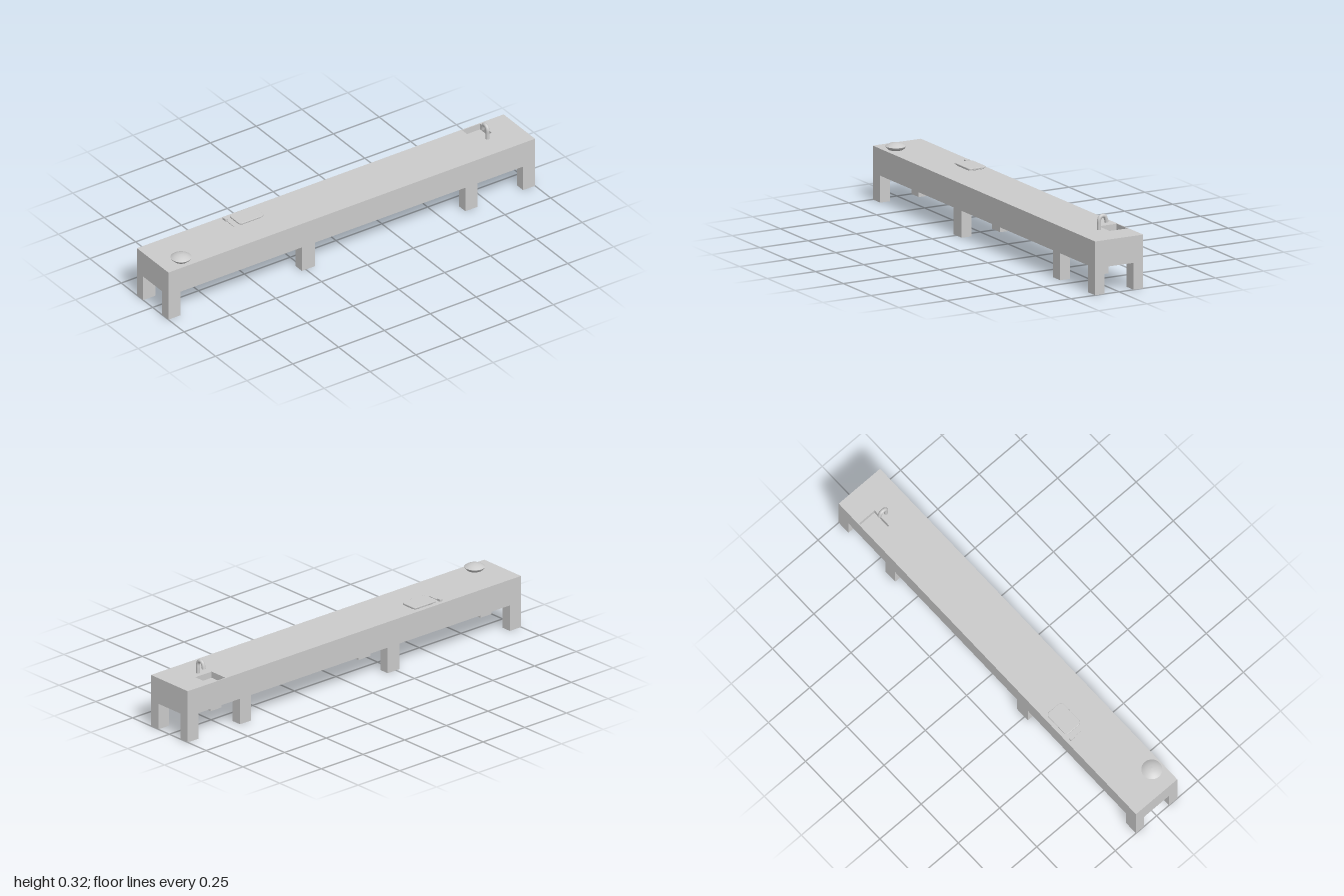
import * as THREE from 'three';

const material = new THREE.MeshStandardMaterial({ color: 0xcccccc });
const TOP = 0.25, UNDERSIDE = 0.125, HALF_DEPTH = 0.125;

function addMesh(parent, name, geometry, x = 0, y = 0, z = 0) {
  const mesh = new THREE.Mesh(geometry, material);
  mesh.name = name;
  mesh.position.set(x, y, z);
  parent.add(mesh);
  return mesh;
}

// Box given by its lower and upper corners
function addBox(parent, name, [x0, y0, z0], [x1, y1, z1]) {
  return addMesh(parent, name, new THREE.BoxGeometry(x1 - x0, y1 - y0, z1 - z0),
    (x0 + x1) / 2, (y0 + y1) / 2, (z0 + z1) / 2);
}

function rectangle(path, x0, z0, x1, z1) {
  path.moveTo(x0, z0).lineTo(x1, z0).lineTo(x1, z1).lineTo(x0, z1).closePath();
  return path;
}

function roundedRectangle(w, d, r) {
  const x = w / 2, y = d / 2;
  const s = new THREE.Shape();
  s.absarc(x - r, y - r, r, 0, Math.PI / 2);
  s.absarc(-x + r, y - r, r, Math.PI / 2, Math.PI);
  s.absarc(-x + r, -y + r, r, Math.PI, Math.PI * 1.5);
  s.absarc(x - r, -y + r, r, Math.PI * 1.5, Math.PI * 2);
  s.closePath();
  return s;
}

export function createModel() {
  const model = new THREE.Group();
  model.name = 'kitchenCounter';

  // Counter block with the sink opening cut through its top
  const sink = { x0: 0.77, x1: 0.868, z0: -0.12, z1: -0.027, floor: 0.22 };
  const outline = rectangle(new THREE.Shape(), -1, -HALF_DEPTH, 1, HALF_DEPTH);
  outline.holes.push(rectangle(new THREE.Path(), sink.x0, sink.z0, sink.x1, sink.z1));
  const counter = new THREE.ExtrudeGeometry(outline, { depth: TOP - UNDERSIDE, bevelEnabled: false });
  counter.rotateX(Math.PI / 2);
  addMesh(model, 'counter', counter, 0, TOP, 0);
  addBox(model, 'sinkFloor', [sink.x0, UNDERSIDE, sink.z0], [sink.x1, sink.floor, sink.z1]);

  // Four pairs of square legs
  for (const [x0, x1] of [[-1, -0.933], [-0.272, -0.2], [0.62, 0.686], [0.935, 1]]) {
    addBox(model, 'frontLeg', [x0, 0, HALF_DEPTH - 0.05], [x1, UNDERSIDE, HALF_DEPTH]);
    addBox(model, 'backLeg', [x0, 0, -HALF_DEPTH], [x1, UNDERSIDE, 0.05 - HALF_DEPTH]);
  }

  // Bent tap: straight riser, half-round bend, short outlet
  const bend = [[0.25, 0.003], [0.275, 0.003], [0.297, 0.003], [0.309, -0.004], [0.313, -0.015],
    [0.309, -0.026], [0.298, -0.032], [0.281, -0.036]]
    .map(([y, z]) => new THREE.Vector3(0, y, z));
  const tap = new THREE.Group();
  tap.name = 'tap';
  tap.position.x = 0.825;
  const curve = new THREE.CatmullRomCurve3(bend);
  addMesh(tap, 'tapPipe', new THREE.TubeGeometry(curve, 40, 0.009, 16));
  const outlet = addMesh(tap, 'tapOutlet', new THREE.CircleGeometry(0.009, 16));
  outlet.position.copy(bend[bend.length - 1]);
  outlet.quaternion.setFromUnitVectors(new THREE.Vector3(0, 0, 1), curve.getTangent(1));
  model.add(tap);

  // Covered dish: flared bowl and shallow domed lid
  const bowl = [[0, 0], [0.034, 0], [0.041, 0.006], [0.046, 0.012], [0.0475, 0.016]];
  const lid = [[0.0475, 0.016], [0.04, 0.021], [0.028, 0.027], [0.014, 0.0305], [0, 0.0315]];
  for (const [name, profile] of [['dishBowl', bowl], ['dishLid', lid]]) {
    const points = profile.map(([r, y]) => new THREE.Vector2(r, y));
    addMesh(model, name, new THREE.LatheGeometry(points, 32), -0.892, TOP, 0.068);
  }

  // Rounded cutting board on a slightly smaller base
  const slab = (w, d, h) => new THREE.ExtrudeGeometry(roundedRectangle(w - 0.004, d - 0.004, 0.016), {
    depth: h - 0.004, bevelThickness: 0.002, bevelSize: 0.002, bevelSegments: 2, curveSegments: 6,
  }).translate(0, 0, 0.002).rotateX(-Math.PI / 2);
  addMesh(model, 'boardBase', slab(0.126, 0.082, 0.009), -0.445, TOP, -0.062);
  addMesh(model, 'board', slab(0.136, 0.092, 0.008), -0.445, TOP + 0.0045, -0.062);

  // Knife lying beside the board: handle and thin blade
  addBox(model, 'knifeHandle', [-0.544, TOP, -0.108], [-0.53, TOP + 0.01, -0.085]);
  addBox(model, 'knifeBlade', [-0.539, TOP, -0.085], [-0.533, TOP + 0.003, -0.03]);

  return model;
}
